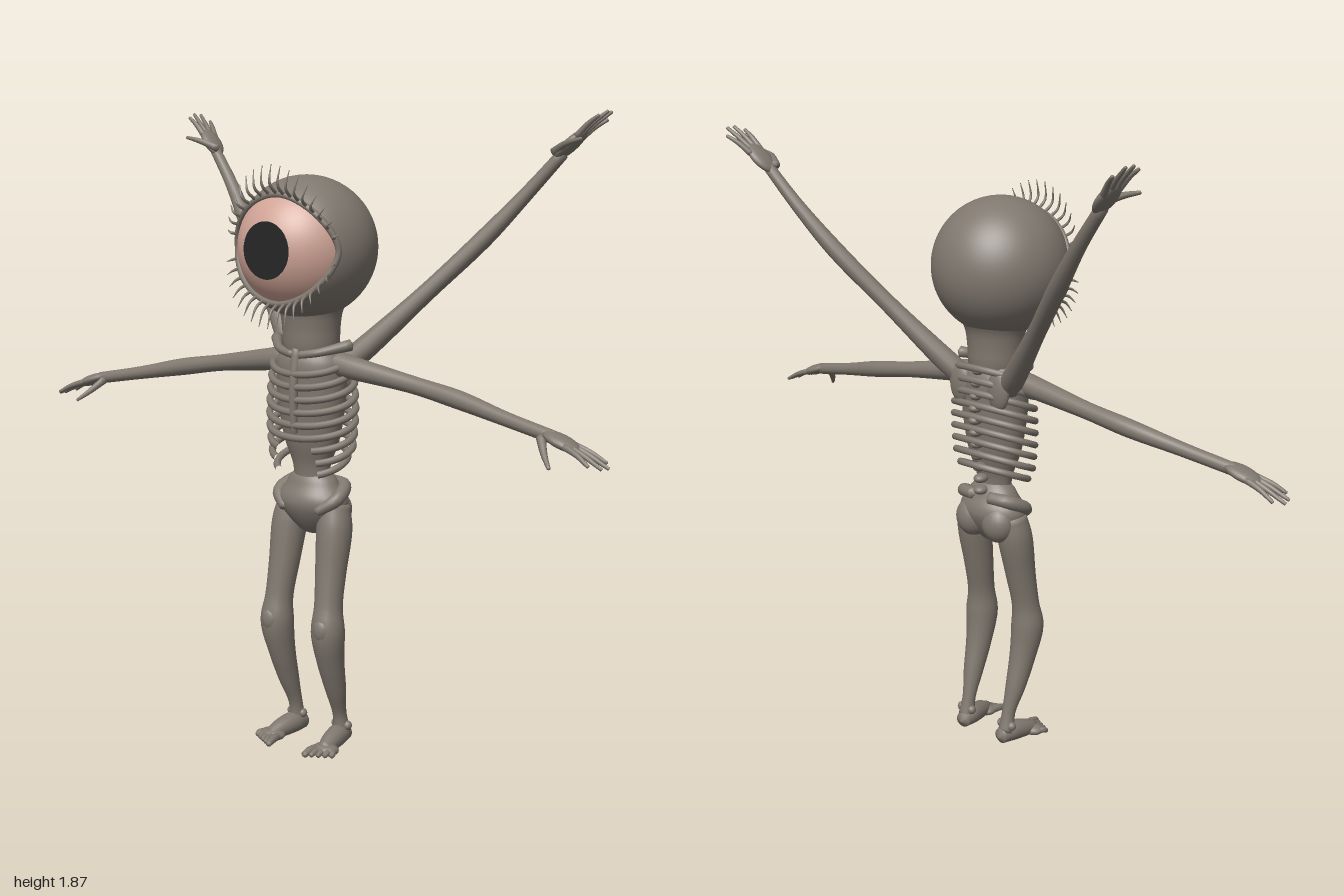
import * as THREE from 'three';

const V = (x, y, z) => new THREE.Vector3(x, y, z);
const skin = new THREE.MeshStandardMaterial({ color: 0x80786f });
skin.name = 'greySkin';
const pink = new THREE.MeshStandardMaterial({ color: 0xd0a496 });
pink.name = 'pinkEye';
const dark = new THREE.MeshStandardMaterial({ color: 0x262626 });
dark.name = 'darkPupil';

function add(parent, name, geometry, material = skin) {
  const mesh = new THREE.Mesh(geometry, material);
  mesh.name = name;
  parent.add(mesh);
  return mesh;
}

// Round limb through points [x, y, z, radius], closed at both ends
function limb(pts, sides = 14, perSpan = 5) {
  const path = new THREE.CatmullRomCurve3(pts.map(p => V(p[0], p[1], p[2])));
  const radii = new THREE.CatmullRomCurve3(pts.map((p, i) => V(p[3], i, 0)));
  const n = (pts.length - 1) * perSpan;
  const dir = path.getPoint(1).sub(path.getPoint(0)).normalize();
  const ref = Math.abs(dir.z) < 0.7 ? V(0, 0, 1) : V(0, 1, 0);
  const pos = [], idx = [];
  for (let i = -1; i <= n + 1; i++) {
    const t = Math.min(Math.max(i / n, 0), 1);
    const c = path.getPoint(t), T = path.getTangent(t);
    const N = ref.clone().cross(T).normalize(), B = T.clone().cross(N);
    const r = i < 0 || i > n ? 0 : radii.getPoint(t).x;
    // Small bulge rounds the end caps
    c.addScaledVector(T, i < 0 ? -0.4 * pts[0][3] : i > n ? 0.4 * pts[pts.length - 1][3] : 0);
    for (let j = 0; j < sides; j++) {
      const a = j / sides * Math.PI * 2;
      const p = c.clone().addScaledVector(N, r * Math.cos(a)).addScaledVector(B, r * Math.sin(a));
      pos.push(p.x, p.y, p.z);
      if (i > n) continue;
      const k = (i + 1) * sides, a0 = k + j, b0 = k + (j + 1) % sides;
      idx.push(a0, b0, a0 + sides, b0, b0 + sides, a0 + sides);
    }
  }
  const g = new THREE.BufferGeometry();
  g.setAttribute('position', new THREE.Float32BufferAttribute(pos, 3));
  g.setIndex(idx);
  g.computeVertexNormals();
  return g;
}

// Lathe squashed front to back
function oval(profile, zScale, z) {
  const curve = new THREE.SplineCurve(profile.map(p => new THREE.Vector2(p[0], p[1])));
  const pts = curve.getPoints(profile.length * 4).map(p => p.set(Math.max(p.x, 0), p.y));
  return new THREE.LatheGeometry(pts, 32).scale(1, 1, zScale).translate(0, 0, z);
}

const ball = (x, y, z, rx, ry = rx, rz = rx) =>
  new THREE.SphereGeometry(1, 20, 14).scale(rx, ry, rz).translate(x, y, z);

// Head: a sphere with an almond opening for the eye
function buildHead(root) {
  const head = new THREE.Group();
  head.name = 'head';
  root.add(head);
  const R = 0.203, C = V(0, 1.488, 0.12);
  const edge = phi => {
    const r = (Math.abs(Math.cos(phi) / 0.182) ** 1.8 + Math.abs(Math.sin(phi) / 0.153) ** 1.8) ** (-1 / 1.8);
    return Math.asin(r / R);
  };
  const onHead = (phi, th) => V(Math.cos(phi) * Math.sin(th), Math.sin(phi) * Math.sin(th), Math.cos(th));
  const g = new THREE.SphereGeometry(1, 64, 32, 0, Math.PI * 2, 0.01, Math.PI - 0.01);
  const { position, normal, uv } = g.attributes;
  for (let i = 0; i < position.count; i++) {
    const phi = uv.getX(i) * Math.PI * 2 + Math.PI;
    const d = onHead(phi, THREE.MathUtils.lerp(edge(phi), Math.PI, 1 - uv.getY(i)));
    normal.setXYZ(i, d.x, d.y, d.z);
    d.multiplyScalar(R).add(C);
    position.setXYZ(i, d.x, d.y, d.z);
  }
  add(head, 'skull', g);

  // Eyelid rim
  const lid = phi => onHead(phi, edge(phi)).multiplyScalar(R - 0.002).add(C);
  const loop = [];
  for (let i = 0; i < 48; i++) loop.push(lid(i / 48 * Math.PI * 2));
  add(head, 'eyelidRim', new THREE.TubeGeometry(new THREE.CatmullRomCurve3(loop, true), 96, 0.009, 8, true));

  // Eyeball with a flat pupil
  const cut = 0.435, er = 0.19;
  add(head, 'eyeball', new THREE.SphereGeometry(er, 48, 24, 0, Math.PI * 2, cut, 1.5)
    .rotateX(Math.PI / 2).translate(0, C.y, 0.13), pink);
  add(head, 'pupil', new THREE.CircleGeometry(er * Math.sin(cut), 40)
    .translate(0, C.y, 0.13 + er * Math.cos(cut)), dark);

  // Lashes curl forward, then up or down
  for (const s of [1, -1]) for (let i = 0; i < 17; i++) {
    const phi = s * (0.2 + i / 16 * (Math.PI - 0.4));
    const p = lid(phi), ox = Math.cos(phi) * 0.45, oy = Math.sin(phi);
    const len = 0.55 + 0.45 * Math.abs(Math.sin(phi));
    const step = (o, z, r) => [p.x + ox * o * len, p.y + oy * o * len, p.z + z * len, r];
    add(head, s > 0 ? 'upperLash' : 'lowerLash', limb(s > 0
      ? [step(0, 0, 0.005), step(0.03, 0.032, 0.004), step(0.082, 0.025, 0.001)]
      : [step(0, 0, 0.005), step(0.02, 0.03, 0.004), step(0.065, 0.046, 0.001)], 6, 4));
  }
  add(head, 'neck', oval([[0.06, 1.13], [0.082, 1.2], [0.086, 1.26], [0.095, 1.31], [0.125, 1.36], [0.16, 1.42]], 0.95, 0.1));
}

// Rib cage, spine and pelvis
function buildTorso(root) {
  const torso = new THREE.Group();
  torso.name = 'torso';
  root.add(torso);
  add(torso, 'chestCore', oval([[0.055, 0.8], [0.062, 0.86], [0.088, 0.93], [0.105, 1.02], [0.112, 1.1], [0.11, 1.17], [0.06, 1.22], [0, 1.23]], 0.74, 0.098));
  for (let i = 0; i < 9; i++) {
    const y = 1.165 - i * 0.037, low = i > 5, gap = low ? 0.45 + (i - 6) * 0.12 : 0;
    const w = 0.127 + 0.016 * Math.sin(i / 8 * Math.PI) - (i === 8 ? 0.015 : 0), pts = [];
    for (let k = 0; k <= 28; k++) {
      const a = gap + k / 28 * (Math.PI * 2 - gap * 2);
      if (!low && k === 28) break;
      pts.push(V(w * Math.sin(a), y - 0.035 * Math.cos(a), 0.096 + 0.088 * Math.cos(a)));
    }
    add(torso, 'rib', new THREE.TubeGeometry(new THREE.CatmullRomCurve3(pts, !low), 64, 0.0105, 8, !low));
  }
  add(torso, 'sternum', limb([[0, 1.2, 0.165, 0.016], [0, 1.1, 0.182, 0.014], [0, 0.96, 0.182, 0.01]]));
  for (let i = 0; i < 11; i++)
    add(torso, 'vertebra', ball(0, 0.82 + i * 0.037, 0.026 + 0.012 * Math.cos(i * 0.5), 0.02, 0.014, 0.024));
  add(torso, 'pelvis', oval([[0, 0.645], [0.04, 0.657], [0.085, 0.695], [0.113, 0.735], [0.112, 0.765], [0.09, 0.795], [0.074, 0.82], [0.05, 0.84]], 0.68, 0.093));
  for (const s of [1, -1]) {
    add(torso, 'buttock', ball(s * 0.052, 0.72, 0.06, 0.055, 0.06, 0.05));
    add(torso, 'hipCrest', limb([[s * 0.03, 0.8, 0.04, 0.018], [s * 0.09, 0.795, 0.06, 0.02], [s * 0.105, 0.765, 0.12, 0.02], [s * 0.06, 0.73, 0.155, 0.014]]));
    add(torso, 'collarbone', limb([[s * 0.012, 1.185, 0.17, 0.013], [s * 0.07, 1.195, 0.155, 0.012], [s * 0.135, 1.215, 0.09, 0.017]]));
    add(torso, 'shoulderBlade', ball(s * 0.075, 1.14, 0.03, 0.04, 0.06, 0.02));
  }
}

// Hand: flat palm, four spread fingers and a thumb
function buildHand(parent, s, palm, along, across, thumb) {
  const hand = new THREE.Group();
  hand.name = 'hand';
  parent.add(hand);
  const m = v => V(s * v[0], v[1], v[2]);
  const c = m(palm), d = m(along).normalize(), w = m(across);
  w.addScaledVector(d, -w.dot(d)).normalize();
  const up = d.clone().cross(w);
  const g = new THREE.SphereGeometry(1, 18, 12).scale(0.058, 0.036, 0.017);
  g.applyMatrix4(new THREE.Matrix4().makeBasis(d, w, up).setPosition(c));
  add(hand, 'palm', g);
  const at = (a, b, drop, r) => {
    const p = c.clone().addScaledVector(d, a).addScaledVector(w, b);
    return [p.x, p.y - drop, p.z, r];
  };
  [0.118, 0.142, 0.138, 0.115].forEach((len, i) => {
    const k = i - 1.5;
    add(hand, 'finger', limb([at(0.025, k * 0.015, 0, 0.01), at(0.075, k * 0.022, 0, 0.0075), at(len, k * 0.028, 0.008, 0.005)], 8));
  });
  add(hand, 'thumb', limb(thumb.map((p, i) => [s * p[0], p[1], p[2], 0.013 - i * 0.004]), 8));
}

function buildArms(root, s) {
  const arms = new THREE.Group();
  arms.name = s > 0 ? 'leftArms' : 'rightArms';
  root.add(arms);
  const side = pts => pts.map(p => [s * p[0], ...p.slice(1)]);
  add(arms, 'lowerArm', limb(side([[0.09, 1.16, 0.1, 0.036], [0.16, 1.15, 0.1, 0.033], [0.35, 1.122, 0.093, 0.025],
    [0.5, 1.097, 0.098, 0.026], [0.66, 1.066, 0.12, 0.02], [0.82, 1.037, 0.14, 0.018]])));
  buildHand(arms, s, [0.845, 1.03, 0.145], [1, -0.34, 0.1], [0, 0, 1],
    [[0.79, 1.035, 0.155], [0.82, 1.0, 0.19], [0.85, 0.972, 0.218]]);
  add(arms, 'upperArm', limb(side([[0.09, 1.15, 0.06, 0.035], [0.15, 1.21, 0.025, 0.034], [0.29, 1.36, -0.055, 0.026],
    [0.43, 1.515, -0.135, 0.026], [0.54, 1.645, -0.185, 0.02], [0.63, 1.75, -0.212, 0.017]])));
  buildHand(arms, s, [0.65, 1.775, -0.22], [0.72, 0.72, -0.28], [0.15, 0.1, 1],
    [[0.61, 1.755, -0.2], [0.66, 1.778, -0.175], [0.71, 1.79, -0.165]]);
}

function buildLeg(root, s) {
  const leg = new THREE.Group();
  leg.name = s > 0 ? 'leftLeg' : 'rightLeg';
  root.add(leg);
  add(leg, 'legBone', limb([[0.075, 0.74, 0.09, 0.046], [0.083, 0.67, 0.1, 0.053], [0.087, 0.55, 0.122, 0.046], [0.092, 0.45, 0.14, 0.042],
    [0.095, 0.375, 0.147, 0.05], [0.092, 0.28, 0.13, 0.041], [0.089, 0.18, 0.1, 0.031], [0.084, 0.1, 0.075, 0.021], [0.085, 0.04, 0.065, 0.026]]
    .map(p => [s * p[0], ...p.slice(1)]), 18));
  add(leg, 'kneecap', ball(s * 0.096, 0.385, 0.178, 0.028, 0.038, 0.022));
  for (const k of [1, -1]) add(leg, 'ankleBone', ball(s * (0.085 + k * 0.021), 0.062, 0.065, 0.014));
  add(leg, 'foot', limb([[s * 0.08, 0.027, 0.04, 0.023], [s * 0.085, 0.034, 0.08, 0.032],
    [s * 0.093, 0.029, 0.13, 0.029], [s * 0.101, 0.02, 0.175, 0.02]]));
  add(leg, 'ballOfFoot', ball(s * 0.101, 0.018, 0.165, 0.042, 0.018, 0.032));
  for (let i = 0; i < 5; i++) {
    const r = i === 0 ? 0.012 : 0.0095;
    add(leg, 'toe', limb([[s * (0.075 + i * 0.014), 0.018, 0.165, r],
      [s * (0.071 + i * 0.017), 0.019, 0.2 - i * 0.005, r], [s * (0.068 + i * 0.018), 0.012, 0.228 - i * 0.009, r * 0.8]], 8));
  }
}

export function createModel() {
  const root = new THREE.Group();
  root.name = 'oneEyedFigure';
  buildHead(root);
  buildTorso(root);
  for (const s of [1, -1]) {
    buildArms(root, s);
    buildLeg(root, s);
  }
  return root;
}
